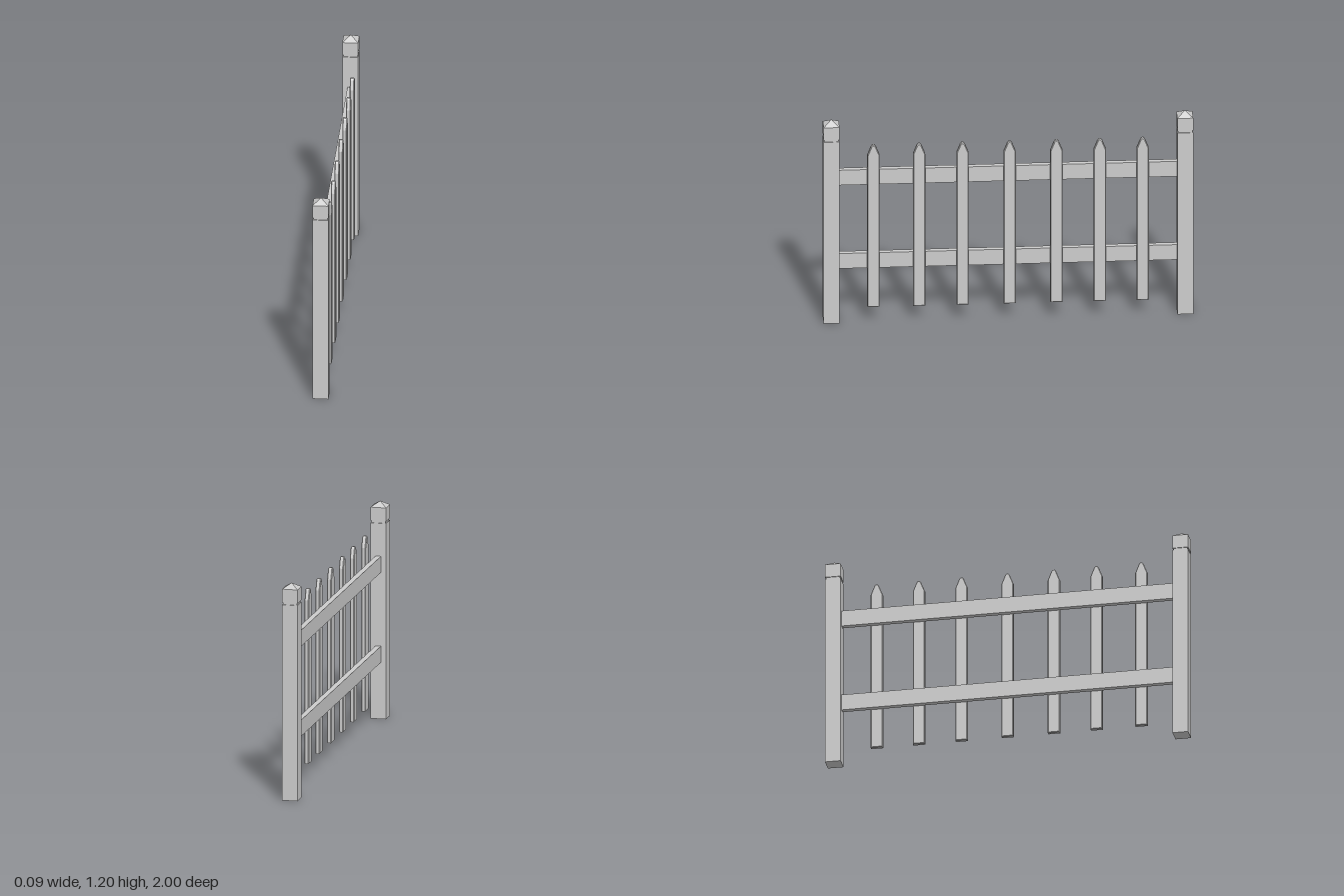
import * as THREE from 'three';

const material = new THREE.MeshStandardMaterial({ color: 0xcccccc, flatShading: true });

function add(parent, name, geometry, x, y, z) {
  const mesh = new THREE.Mesh(geometry, material);
  mesh.name = name;
  mesh.position.set(x, y, z);
  parent.add(mesh);
  return mesh;
}

// Box standing on y = 0
function standingBox(w, h, d) {
  return new THREE.BoxGeometry(w, h, d).translate(0, h / 2, 0);
}

// Square post with a recessed neck and a pyramid-topped cap
function createPost() {
  const post = new THREE.Group();
  const size = 0.086;
  add(post, 'postShaft', standingBox(size, 1.088, size), 0, 0, 0);
  add(post, 'postNeck', standingBox(0.076, 0.012, 0.076), 0, 1.088, 0);
  add(post, 'postCap', standingBox(size, 0.075, size), 0, 1.1, 0);
  const roof = new THREE.ConeGeometry(size / Math.SQRT2, 0.028, 4, 1, true);
  roof.rotateY(Math.PI / 4).translate(0, 0.014, 0);
  add(post, 'postCapRoof', roof, 0, 1.175, 0);
  return post;
}

// Pointed picket board with a blunt tip and lightly chamfered edges
function picketGeometry() {
  const bevel = 0.004;
  const half = 0.033 - bevel;
  const outline = [
    [-half, 0.09 + bevel], [half, 0.09 + bevel], [half, 0.999],
    [0.009, 1.05], [0.004, 1.056], [-0.004, 1.056], [-0.009, 1.05], [-half, 0.999],
  ];
  const shape = new THREE.Shape(outline.map(([x, y]) => new THREE.Vector2(x, y)));
  const geometry = new THREE.ExtrudeGeometry(shape, {
    depth: 0.025 - 2 * bevel, bevelSize: bevel, bevelThickness: bevel, bevelSegments: 1,
  });
  return geometry.translate(0, 0, bevel).rotateY(Math.PI / 2);
}

export function createModel() {
  const fence = new THREE.Group();
  fence.name = 'picketFence';

  // End posts
  for (const side of [1, -1]) {
    const post = createPost();
    post.name = side > 0 ? 'frontPost' : 'backPost';
    post.position.z = side * 0.957;
    fence.add(post);
  }

  // Horizontal rails
  const rail = new THREE.BoxGeometry(0.03, 0.09, 1.83);
  add(fence, 'lowerRail', rail, 0, 0.36, 0);
  add(fence, 'upperRail', rail, 0, 0.86, 0);

  // Slightly unevenly spaced pickets on the left face of the rails
  const picket = picketGeometry();
  [0.73, 0.483, 0.248, -0.007, -0.26, -0.495, -0.727].forEach((z, i) => {
    add(fence, `picket${i + 1}`, picket, 0.015, 0, z);
  });
  return fence;
}
